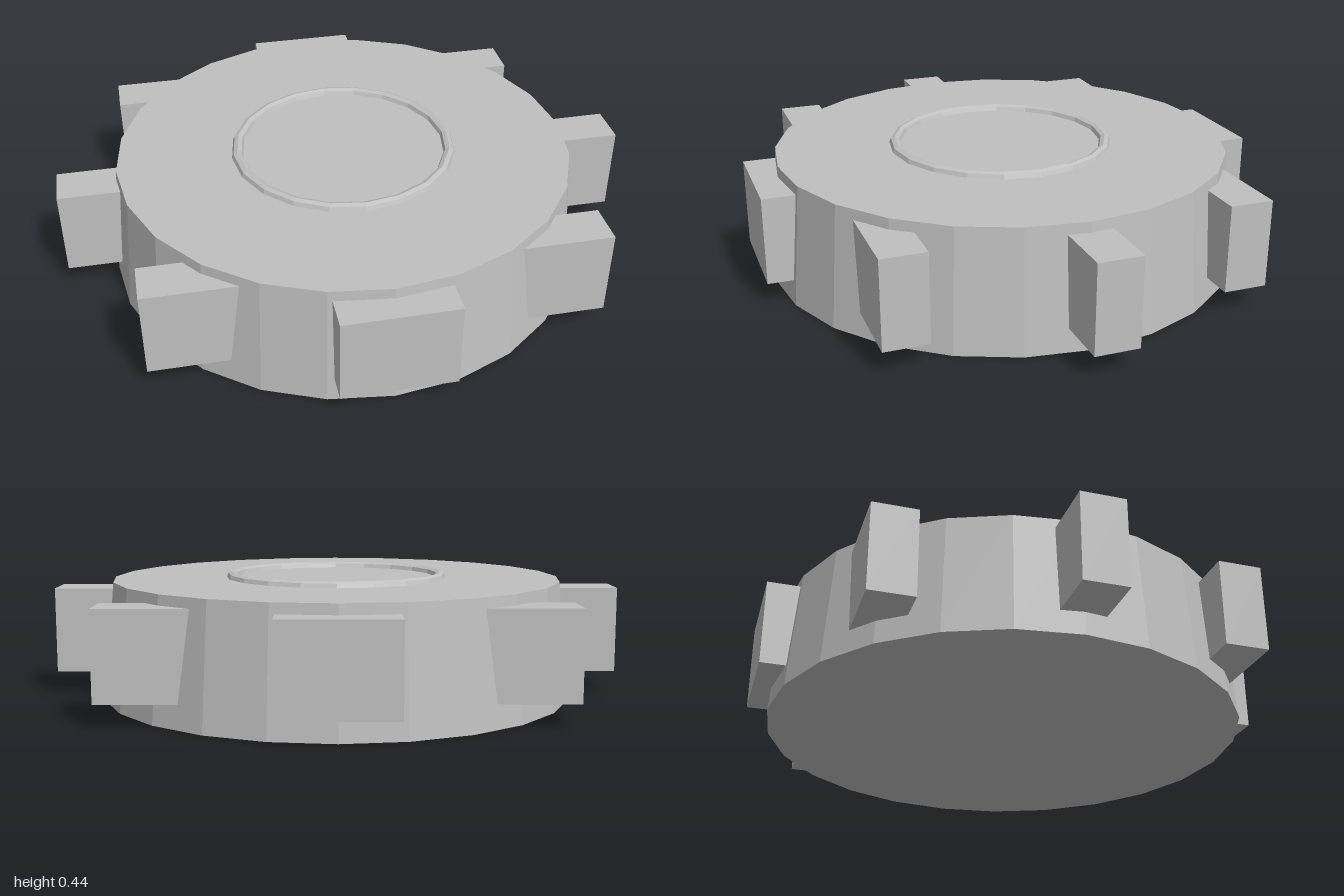
import * as THREE from 'three';

export function createModel() {
  const group = new THREE.Group();
  const grey = new THREE.MeshStandardMaterial({ color: 0xc0c0c0, flatShading: true });
  grey.name = 'grey';

  const add = (name, geometry, x, y, z) => {
    const mesh = new THREE.Mesh(geometry, grey);
    mesh.name = name;
    mesh.position.set(x, y, z);
    group.add(mesh);
    return mesh;
  };

  // Tapered main disc
  const height = 0.415;
  add('disc', new THREE.CylinderGeometry(0.795, 0.83, height, 24), 0, height / 2, 0);

  // Thin raised ring half sunk into the top
  add('topRing', new THREE.TorusGeometry(0.375, 0.02, 8, 20), 0, height, 0).rotation.x = -Math.PI / 2;

  // Eight identical blocks around the rim, all kept square to the axes
  const block = new THREE.BoxGeometry(0.38, 0.3, 0.15);
  const rimRadius = 0.81;
  for (let i = 0; i < 8; i++) {
    const a = (i * Math.PI) / 4;
    add(`rimBlock${i + 1}`, block, Math.cos(a) * rimRadius, 0.23, Math.sin(a) * rimRadius);
  }

  return group;
}
